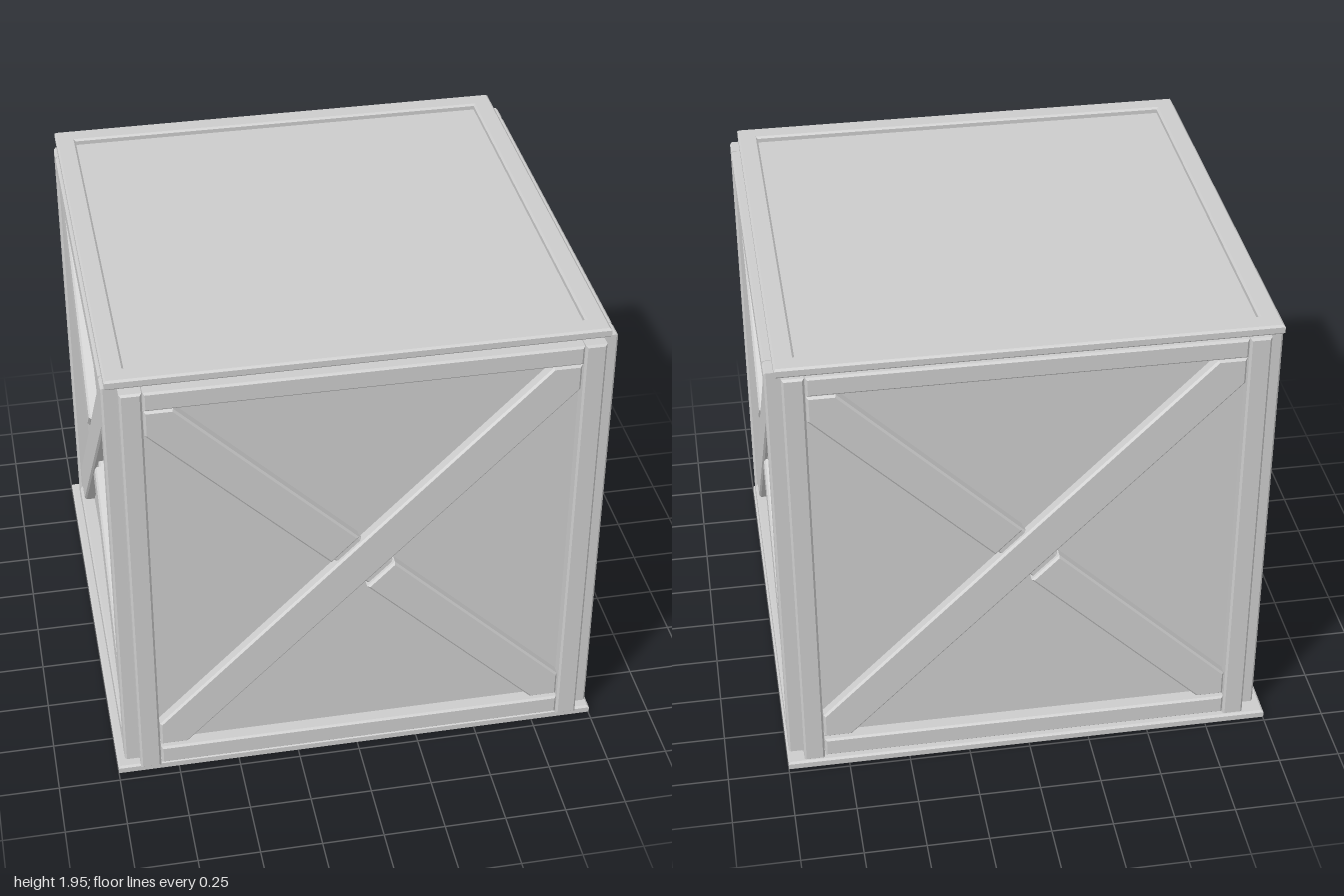
import * as THREE from 'three';

const mat = new THREE.MeshStandardMaterial({ color: 0xcccccc, flatShading: true });
const BEVEL = 0.008;

function mesh(name, geometry, parent) {
  const m = new THREE.Mesh(geometry, mat);
  m.name = name;
  parent.add(m);
  return m;
}

const outline = (pts) => new THREE.Shape(pts.map(([x, y]) => new THREE.Vector2(x, y)));
const rect = (x0, x1, y0, y1) => [[x0, y0], [x1, y0], [x1, y1], [x0, y1]];

// Flat board with chamfered edges, z from z0 to z0 + depth
function board(shape, z0, depth) {
  return new THREE.ExtrudeGeometry(shape, {
    depth: depth - 2 * BEVEL, bevelEnabled: true, bevelSegments: 1,
    bevelSize: BEVEL, bevelThickness: BEVEL, bevelOffset: -BEVEL,
  }).translate(0, 0, z0 + BEVEL);
}

// Horizontal rectangular frame with an opening
function frame(name, w, d, innerW, innerD, y, height, parent) {
  const shape = outline(rect(-w / 2, w / 2, -d / 2, d / 2));
  shape.holes.push(outline(rect(-innerW / 2, innerW / 2, -innerD / 2, innerD / 2)));
  mesh(name, board(shape, 0, height).rotateX(-Math.PI / 2), parent).position.set(0, y, -0.01);
}

const FACE = 0.925;   // core surface, distance from the centre
const MID = 0.975;    // height of the crossing braces
const H = 0.833;      // half size of the braced square
const C = 0.11;       // corner cut of the braces

// One wall: stiles, rails and two crossing braces, facing +z
function wall(name) {
  const g = new THREE.Group();
  g.name = name;
  const add = (part, pts, depth, y = 0) =>
    mesh(part, board(outline(pts), FACE - 0.01, depth + 0.01), g).position.y = y;

  for (const s of [-1, 1]) {
    add('stile', rect(s > 0 ? 0.837 : -0.921, s > 0 ? 0.921 : -0.837, 0.035, 1.9), 0.056);
  }
  add('bottomRail', rect(-0.834, 0.834, 0.05, 0.135), 0.056);
  add('topRail', rect(-0.834, 0.834, 1.818, 1.9), 0.056);

  // Continuous brace, lower left to upper right
  add('mainBrace', [[-H, -H], [C - H, -H], [H, H - C], [H, H], [H - C, H], [-H, C - H]], 0.045, MID);

  // Two halves of the other brace, stopping short of the main one
  const e = 0.145, a = (C + e) / 2, b = (e - C) / 2;
  for (const s of [-1, 1]) {
    const half = [[-H, H], [-H, H - C], [-a, b], [-b, a], [C - H, H]];
    add('halfBrace', half.map(([x, y]) => [x * s, y * s]), 0.045, MID);
  }
  // Lowered lap joint under the crossing
  const w = 0.1, l = 0.16, p = (w + l) / 2, q = (l - w) / 2;
  add('lapJoint', [[-p, q], [q, -p], [p, -q], [-q, p]], 0.025, MID);
  return g;
}

export function createModel() {
  const model = new THREE.Group();
  model.name = 'crate';

  // Core with four identical walls
  const body = new THREE.Group();
  body.name = 'body';
  body.position.set(0.012, 0, 0.004);
  model.add(body);
  mesh('core', new THREE.BoxGeometry(FACE * 2, 1.87, FACE * 2), body).position.y = 0.97;
  ['frontWall', 'leftWall', 'backWall', 'rightWall'].forEach((name, i) => {
    const w = wall(name);
    w.rotation.y = i * Math.PI / 2;
    body.add(w);
  });

  // Base and lid frames with recessed panels
  frame('baseFrame', 2, 1.955, 1.75, 1.75, 0, 0.04, model);
  mesh('basePanel', new THREE.BoxGeometry(1.78, 0.02, 1.78), model).position.set(0, 0.03, -0.01);
  frame('lidFrame', 1.915, 1.92, 1.75, 1.75, 1.905, 0.04, model);
  mesh('lidPanel', new THREE.BoxGeometry(1.78, 0.02, 1.78), model).position.set(0, 1.91, -0.01);
  return model;
}
